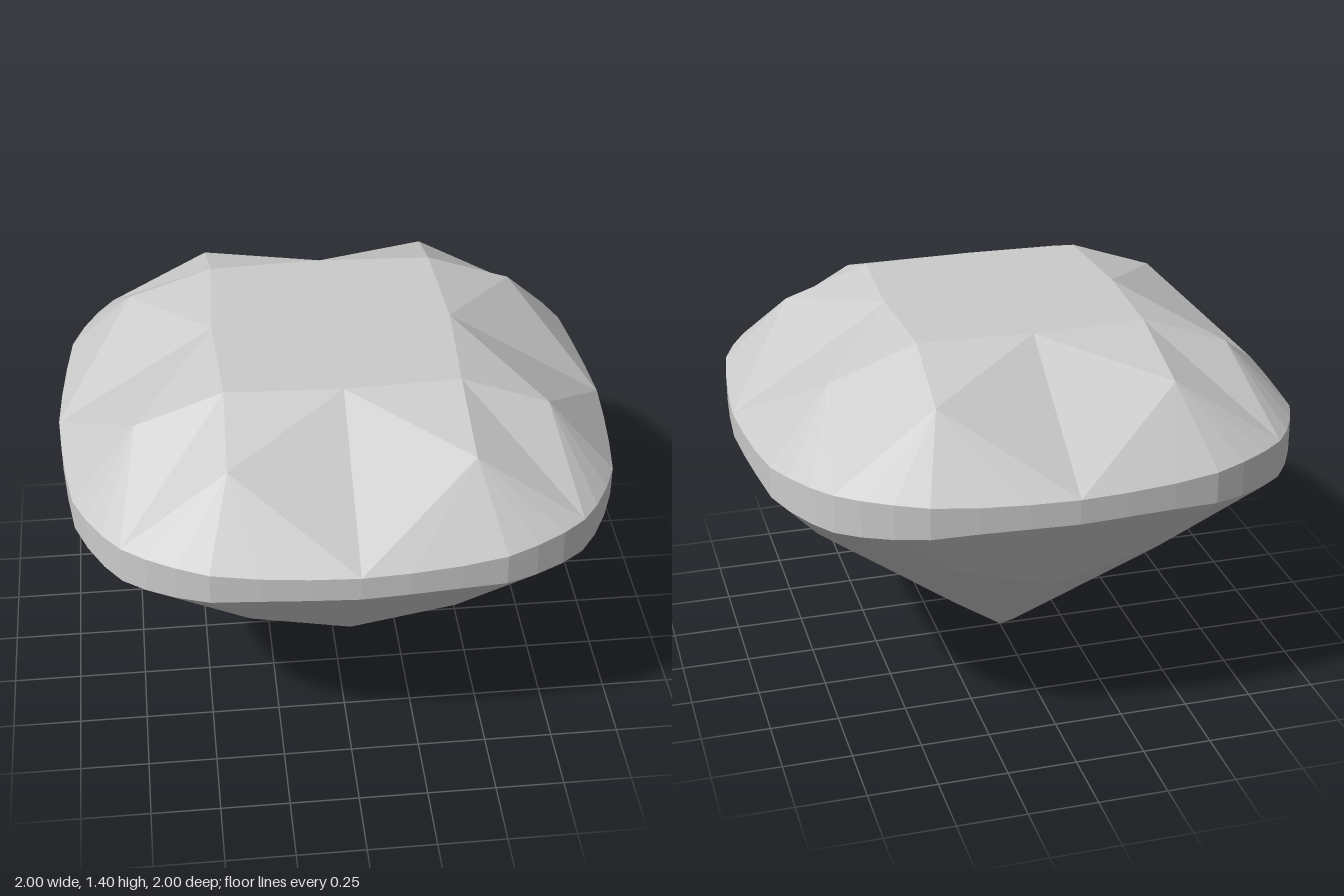
import * as THREE from 'three';

// Facet points of one eighth of the stone, from the +z axis (x = 0) to the corner (x = z)
const tableCentre = [0, 1.4, 0], tableMid = [0, 1.4, 0.43], tableCorner = [0.41, 1.4, 0.41];
const star = [0.42, 1.29, 0.72];
const lower = [0.36, 0.69, 0.77], lowerCorner = [0.565, 0.69, 0.565];
const keel = [0, 0.55, 0.69];
const tip = [0, 0.12, 0.18], tipCorner = [0.09, 0.12, 0.09], culet = [0, 0, 0];

// Cushion outline: x, z, top height, bottom height
const outline = [
  [0, 1, 1.03, 0.94], [0.17, 0.99, 1.03, 0.94], [0.34, 0.973, 1.033, 0.937], [0.5, 0.95, 1.042, 0.927],
  [0.61, 0.905, 1.047, 0.92], [0.71, 0.85, 1.05, 0.916], [0.79, 0.79, 1.052, 0.914],
];
const rimTop = outline.map(([x, z, t]) => [x, t, z]);
const rimBottom = outline.map(([x, z, , b]) => [x, b, z]);
const last = outline.length - 1;

// Triangles joining one point to every step of a rim
const fan = (p, rim) => rim.slice(1).map((q, i) => [p, rim[i], q]);

const parts = {
  table: [[tableCentre, tableMid, tableCorner]],
  crown: [
    [tableMid, tableCorner, star], // star facet
    [tableMid, star, rimTop[0]], // half of the side kite
    [tableCorner, star, rimTop[last]], // half of the corner kite
    ...fan(star, rimTop), // upper girdle facets
  ],
  girdle: rimTop.slice(1).flatMap((q, i) => [
    [rimTop[i], rimBottom[i], q],
    [q, rimBottom[i], rimBottom[i + 1]],
  ]),
  pavilion: [
    ...fan(lower, rimBottom), // lower girdle facets
    [keel, lower, rimBottom[0]], // half of the side kite
    [lower, lowerCorner, rimBottom[last]], // half of the long corner facet
    [tip, tipCorner, lowerCorner],
    [tip, lowerCorner, lower],
    [tip, lower, keel], // flank beside the corner facet
    [culet, tip, tipCorner],
  ],
};

// Mirror the eighth around the stone, turning every facet outwards
function mirrorAround(triangles) {
  const positions = [];
  const centre = new THREE.Vector3(0, 0.9, 0);
  for (const sx of [1, -1]) for (const sz of [1, -1]) for (const swap of [false, true]) {
    for (const tri of triangles) {
      const [a, b, c] = tri.map(([x, y, z]) =>
        new THREE.Vector3(sx * (swap ? z : x), y, sz * (swap ? x : z)));
      const normal = new THREE.Triangle(a, b, c).getNormal(new THREE.Vector3());
      const outward = normal.dot(a.clone().sub(centre)) > 0;
      for (const v of outward ? [a, b, c] : [a, c, b]) positions.push(v.x, v.y, v.z);
    }
  }
  const geometry = new THREE.BufferGeometry();
  geometry.setAttribute('position', new THREE.Float32BufferAttribute(positions, 3));
  geometry.computeVertexNormals();
  return geometry;
}

export function createModel() {
  const group = new THREE.Group();
  group.name = 'cushionCutGem';
  const material = new THREE.MeshStandardMaterial({ color: 0xcccccc, flatShading: true });
  for (const [name, triangles] of Object.entries(parts)) {
    const mesh = new THREE.Mesh(mirrorAround(triangles), material);
    mesh.name = name;
    group.add(mesh);
  }
  return group;
}
